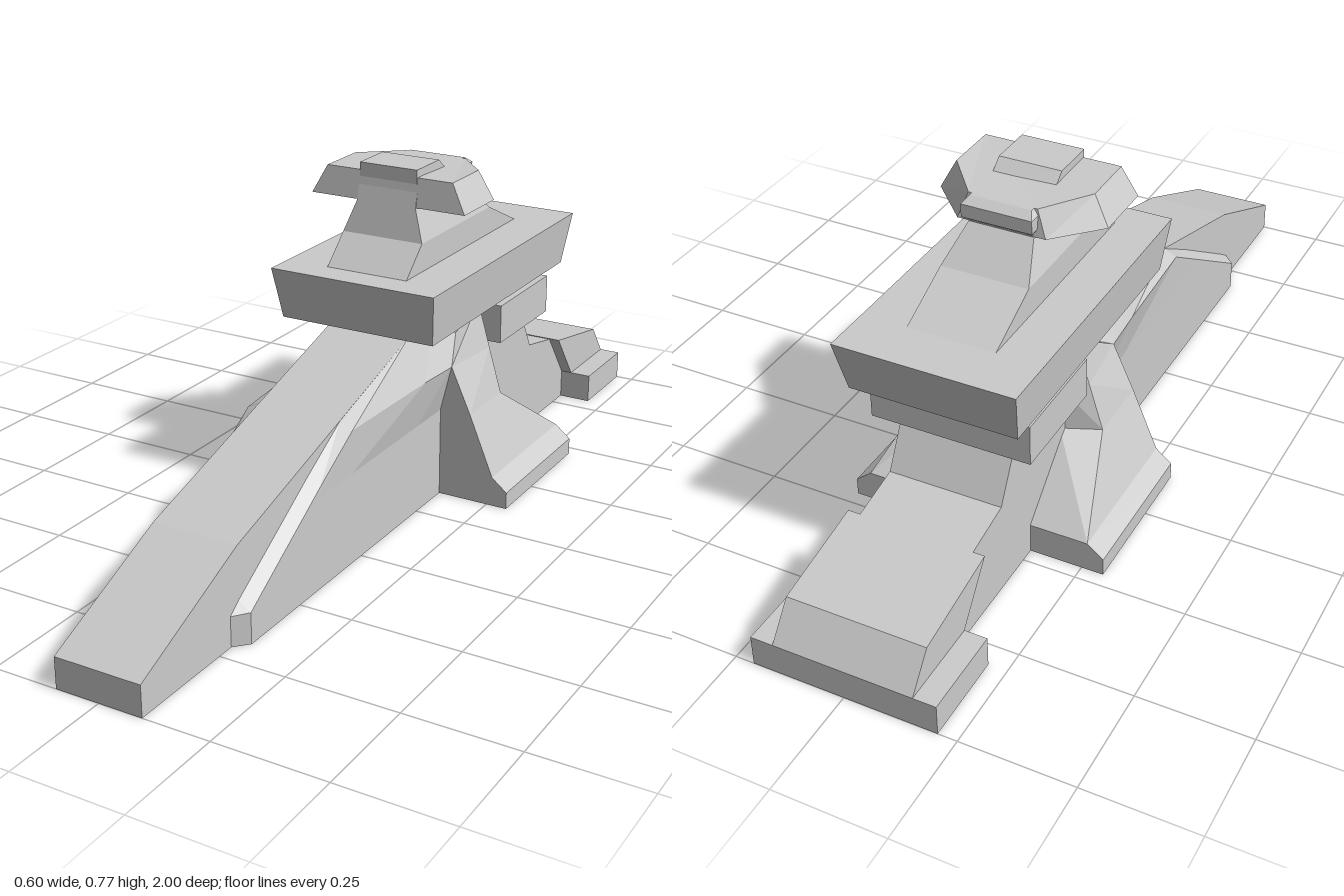
import * as THREE from 'three';

const material = new THREE.MeshStandardMaterial({ color: 0xcccccc, flatShading: true, side: THREE.DoubleSide });

// Skins a stack of equal-length point rings, capping both ends.
function loft(name, rings) {
  const tris = [];
  const n = rings[0].length;
  for (let r = 0; r < rings.length - 1; r++) {
    for (let i = 0; i < n; i++) {
      const j = (i + 1) % n;
      const [a, b, c, d] = [rings[r][i], rings[r][j], rings[r + 1][j], rings[r + 1][i]];
      tris.push([a, b, c], [a, c, d]);
    }
  }
  const first = rings[0], last = rings[rings.length - 1];
  for (let i = 1; i < n - 1; i++) {
    tris.push([first[0], first[i + 1], first[i]], [last[0], last[i], last[i + 1]]);
  }
  // The signed volume tells whether the faces point outward.
  let volume = 0;
  for (const [a, b, c] of tris) {
    volume += new THREE.Vector3(...a).dot(new THREE.Vector3(...b).cross(new THREE.Vector3(...c)));
  }
  if (volume < 0) tris.forEach((t) => t.reverse());
  const geometry = new THREE.BufferGeometry();
  geometry.setAttribute('position', new THREE.Float32BufferAttribute(tris.flat(2), 3));
  geometry.computeVertexNormals();
  const mesh = new THREE.Mesh(geometry, material);
  mesh.name = name;
  return mesh;
}

// Rectangular levels: [y, half width, front z, back z].
const tiers = (name, levels) => loft(name, levels.map(([y, w, f, b]) =>
  [[w, y, f], [w, y, b], [-w, y, b], [-w, y, f]]));

// Side outline of [z, y] points, extruded symmetrically across x.
function sideProfile(name, halfWidth, points) {
  const shape = new THREE.Shape(points.map(([z, y]) => new THREE.Vector2(-z, y)));
  const geometry = new THREE.ExtrudeGeometry(shape, { depth: 2 * halfWidth, bevelEnabled: false });
  geometry.translate(0, 0, -halfWidth).rotateY(Math.PI / 2);
  const mesh = new THREE.Mesh(geometry, material);
  mesh.name = name;
  return mesh;
}

export function createModel() {
  const model = new THREE.Group();
  model.name = 'tieredStructure';

  // Narrow front ramp
  model.add(sideProfile('frontRamp', 0.1,
    [[1, 0], [1, 0.07], [0.68, 0.21], [0, 0.412], [-0.2, 0.412], [-0.2, 0]]));

  // Wider hull with chamfered nose and flared shoulders:
  // z, lower wall [x, y], shoulder [x, y], top edge y
  const hull = [
    [0.71, 0.1, 0.05, 0.1, 0.068, 0.07],
    [0.68, 0.128, 0.06, 0.128, 0.07, 0.09],
    [0.42, 0.128, 0.21, 0.128, 0.23, 0.25],
    [0.29, 0.128, 0.21, 0.13, 0.31, 0.325],
    [0, 0.128, 0.21, 0.148, 0.32, 0.412],
    [-0.11, 0.128, 0.21, 0.155, 0.32, 0.412],
    [-0.3, 0.128, 0.21, 0.13, 0.32, 0.412],
  ];
  model.add(loft('hull', hull.map(([z, x1, y1, x2, y2, top]) => {
    const half = [[x1, 0, z], [x1, y1, z], [x2, y2, z], [0.1, top, z]];
    return [...half, ...half.map(([x, y]) => [-x, y, z]).reverse()];
  })));

  // Rear hull and wider tail wedge
  model.add(sideProfile('rearHull', 0.13, [[-0.15, 0], [-0.15, 0.34], [-0.53, 0.34], [-0.53, 0.32],
    [-0.59, 0.212], [-0.75, 0.18], [-0.9, 0.07], [-0.9, 0]]));
  model.add(sideProfile('tailWedge', 0.157,
    [[-0.71, 0.19], [-0.94, 0.147], [-1, 0.07], [-0.8, 0.07]]));
  model.add(tiers('tailFoot', [[0, 0.208, -0.8, -1], [0.07, 0.208, -0.8, -1]]));

  // Side buttresses: y, front [x, z], back outer [x, z], back inner z
  const buttress = [
    [0, 0.3, -0.112, 0.3, -0.467, -0.467],
    [0.04, 0.3, -0.112, 0.3, -0.467, -0.467],
    [0.07, 0.263, -0.112, 0.263, -0.467, -0.467],
    [0.212, 0.204, -0.112, 0.204, -0.27, -0.305],
    [0.32, 0.155, -0.112, 0.172, -0.27, -0.305],
    [0.412, 0.142, -0.25, 0.145, -0.27, -0.305],
  ];
  for (const [name, s] of [['leftButtress', 1], ['rightButtress', -1]]) {
    model.add(loft(name, buttress.map(([y, xf, zf, xb, zb, zi]) =>
      [[s * 0.1, y, -0.112], [s * xf, y, zf], [s * xb, y, zb], [s * 0.12, y, zi], [s * 0.1, y, zi]])));
  }

  // Slab, collar and main deck
  model.add(tiers('rearSlab', [[0.32, 0.183, -0.305, -0.562], [0.412, 0.183, -0.305, -0.562]]));
  model.add(tiers('collar', [[0.4, 0.102, 0, -0.535], [0.432, 0.102, 0, -0.535]]));
  model.add(tiers('deck', [[0.43, 0.19, 0.05, -0.625], [0.55, 0.204, 0.075, -0.655]]));

  // Tower
  model.add(tiers('tower', [[0.55, 0.1, 0.005, -0.54], [0.615, 0.1, -0.065, -0.4],
    [0.687, 0.074, -0.082, -0.325], [0.73, 0.074, -0.092, -0.325]]));

  // Bridge with tapered sides and chamfered back: y front/back, then half outline [x, z]
  const bridge = (half, yFront, yBack) => {
    const points = half.map(([x, z], i) => [x, i === 2 ? yBack : yFront, z]);
    return [...points, ...points.map(([x, y, z]) => [-x, y, z]).reverse()];
  };
  model.add(loft('bridge', [
    bridge([[0.193, -0.085], [0.193, -0.23], [0.1, -0.325]], 0.688, 0.688),
    bridge([[0.158, -0.095], [0.158, -0.22], [0.078, -0.315]], 0.754, 0.748),
  ]));
  model.add(tiers('bridgeBackPanel', [[0.69, 0.07, -0.3, -0.325], [0.705, 0.08, -0.3, -0.345],
    [0.735, 0.08, -0.3, -0.345], [0.748, 0.07, -0.3, -0.325]]));
  model.add(tiers('bridgeCap', [[0.74, 0.072, -0.092, -0.235], [0.772, 0.072, -0.092, -0.195]]));

  return model;
}
